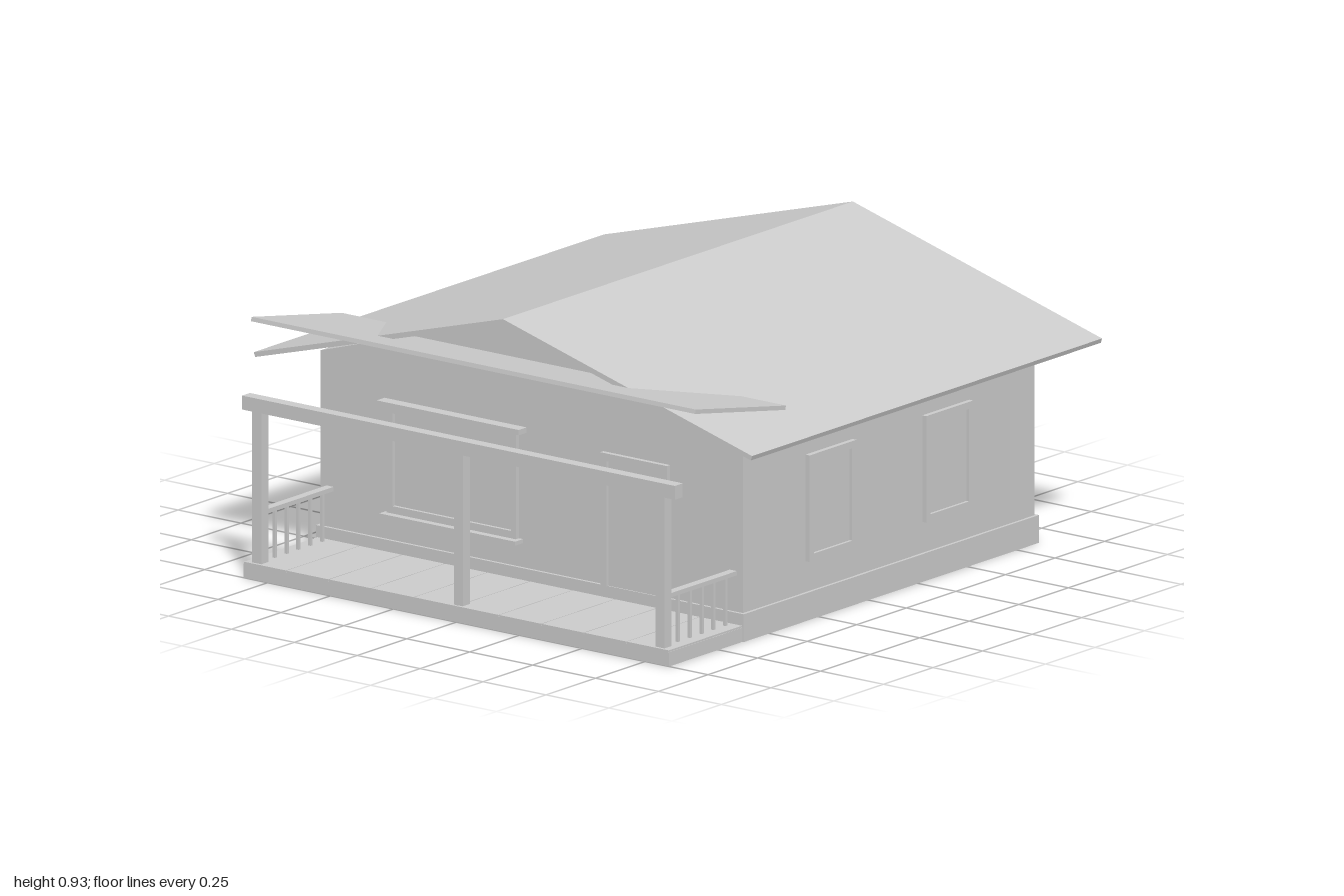
import * as THREE from 'three';

export function createModel() {
  const house = new THREE.Group();
  house.name = 'cabin';
  const grey = new THREE.MeshStandardMaterial({ color: 0xcccccc });
  grey.name = 'plainGrey';

  const add = (name, geometry, parent = house) => {
    const mesh = new THREE.Mesh(geometry, grey);
    mesh.name = name;
    parent.add(mesh);
    return mesh;
  };
  // Box given by its limits on each axis
  const box = (name, x0, x1, y0, y1, z0, z1, parent = house) => {
    const g = new THREE.BoxGeometry(x1 - x0, y1 - y0, z1 - z0);
    g.translate((x0 + x1) / 2, (y0 + y1) / 2, (z0 + z1) / 2);
    return add(name, g, parent);
  };
  // Outline in x and y, extruded from z0 to z1
  const prism = (name, points, z0, z1, holes = [], parent = house) => {
    const shape = new THREE.Shape(points.map(([x, y]) => new THREE.Vector2(x, y)));
    for (const h of holes) shape.holes.push(new THREE.Path(h.map(([x, y]) => new THREE.Vector2(x, y))));
    const g = new THREE.ExtrudeGeometry(shape, { depth: z1 - z0, bevelEnabled: false });
    g.translate(0, 0, z0);
    return add(name, g, parent);
  };
  const rect = (x0, x1, y0, y1) => [[x0, y0], [x1, y0], [x1, y1], [x0, y1]];

  // Foundation, walls with gables, rear gable panel
  box('foundation', -0.85, 0.85, 0, 0.09, -0.86, 0.63);
  prism('walls', [[-0.84, 0.09], [0.84, 0.09], [0.84, 0.655], [0, 0.911], [-0.84, 0.655]], -0.85, 0.62);
  prism('rearGable', [[-0.84, 0.65], [0.84, 0.65], [0, 0.911]], -0.89, -0.85);

  // Main roof and the tilted porch roof
  prism('mainRoof', [
    [-0.985, 0.64], [0, 0.912], [0.985, 0.64], [0.99, 0.655], [0, 0.93], [-0.99, 0.655],
  ], -1, 0.765);
  const porchRoof = add('porchRoof', new THREE.BoxGeometry(1.765, 0.014, 0.463));
  porchRoof.position.set(0, 0.77, 0.687);
  porchRoof.rotation.x = -0.185;

  // Porch floor with narrow joints between the boards
  box('porchBase', -0.845, 0.845, 0, 0.046, 0.62, 1);
  const boards = 10, boardWidth = 1.69 / boards;
  for (let i = 0; i < boards; i++) {
    const x = -0.845 + i * boardWidth;
    box('floorBoard', x + 0.0015, x + boardWidth - 0.0015, 0.046, 0.052, 0.63, 1);
  }

  // Posts and beam
  for (const x of [-0.801, 0, 0.801]) box('porchPost', x - 0.018, x + 0.018, 0.052, 0.542, 0.954, 0.99);
  box('porchBeam', -0.86, 0.86, 0.54, 0.585, 0.95, 0.99);

  // Railings on both porch ends
  for (const s of [-1, 1]) {
    const x = s * 0.801;
    box('handRail', x - 0.014, x + 0.014, 0.208, 0.222, 0.62, 0.955);
    for (let i = 0; i < 5; i++) {
      const z = 0.9 - i * 0.06;
      box('baluster', x - 0.005, x + 0.005, 0.052, 0.208, z - 0.005, z + 0.005);
    }
  }

  // Front window with head trim and sill
  prism('frontWindowFrame', rect(-0.565, -0.05, 0.18, 0.53), 0.62, 0.636, [rect(-0.54, -0.07, 0.205, 0.505)]);
  box('frontWindowPane', -0.54, -0.07, 0.205, 0.505, 0.62, 0.625);
  box('frontWindowHead', -0.585, -0.02, 0.528, 0.545, 0.62, 0.66);
  box('frontWindowSill', -0.575, -0.035, 0.168, 0.181, 0.62, 0.66);

  // Front door
  prism('doorFrame', [
    [0.285, 0.09], [0.31, 0.09], [0.31, 0.495], [0.525, 0.495],
    [0.525, 0.09], [0.55, 0.09], [0.55, 0.52], [0.285, 0.52],
  ], 0.62, 0.636);
  box('door', 0.31, 0.525, 0.09, 0.495, 0.62, 0.626);

  // Two windows on each side wall
  for (const s of [-1, 1]) {
    for (const z of [0.187, -0.402]) {
      const win = new THREE.Group();
      win.name = 'sideWindow';
      prism('sideWindowFrame', rect(-0.118, 0.118, 0.19, 0.535), 0, 0.016,
        [rect(-0.097, 0.097, 0.213, 0.512)], win);
      box('sideWindowPane', -0.097, 0.097, 0.213, 0.512, 0, 0.006, win);
      win.position.set(s * 0.84, 0, z);
      win.rotation.y = s * Math.PI / 2;
      house.add(win);
    }
  }
  return house;
}
